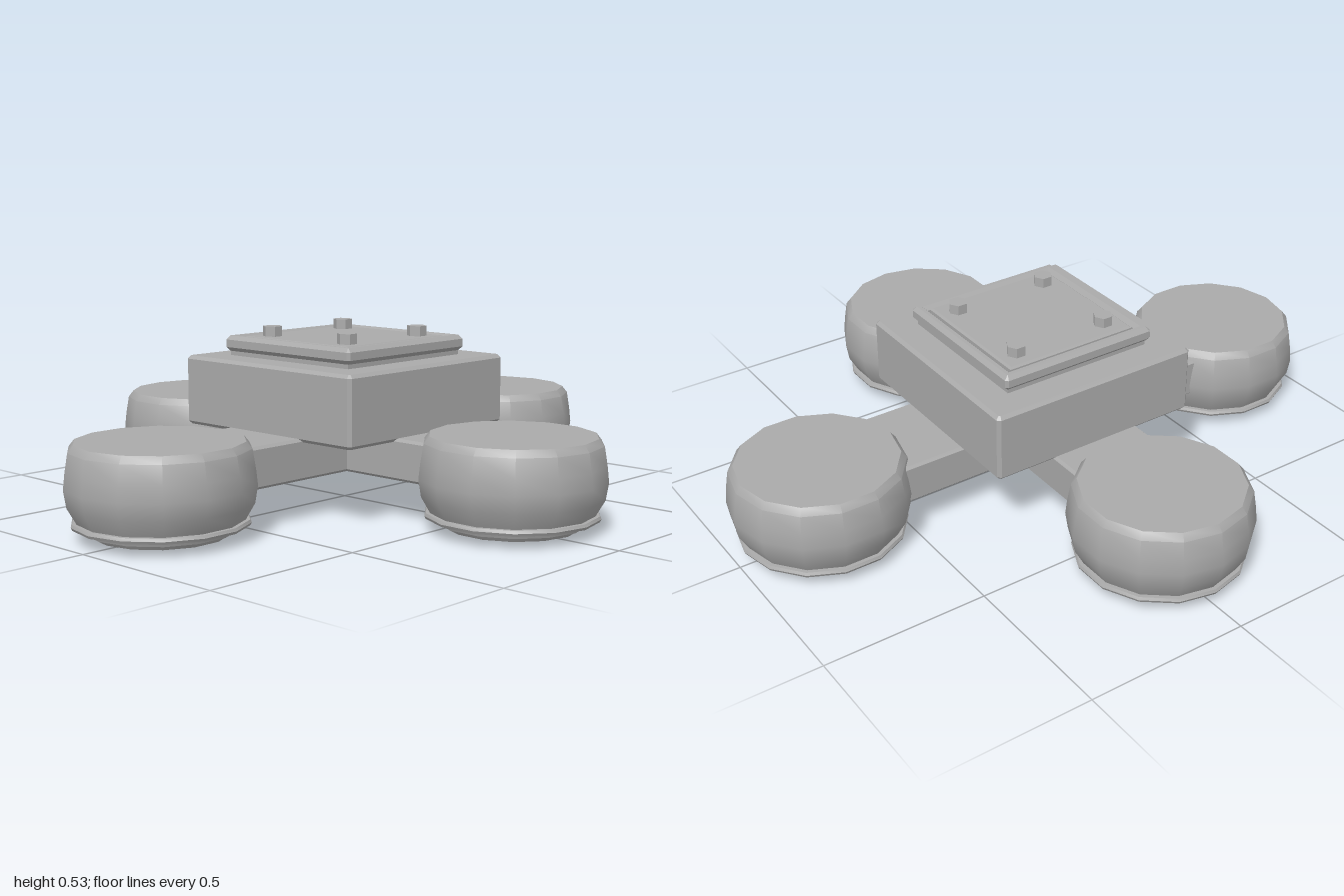
import * as THREE from 'three';
import { toCreasedNormals } from 'three/addons/utils/BufferGeometryUtils.js';

const grey = new THREE.MeshStandardMaterial({ color: 0xaaaaaa });
grey.name = 'grey metal';
const teal = new THREE.MeshStandardMaterial({ color: 0x80b6be });
teal.name = 'teal lens';

function part(name, geometry, material = grey) {
  const mesh = new THREE.Mesh(geometry, material);
  mesh.name = name;
  return mesh;
}

// Horizontal slab between two heights with chamfered rims
function slab(shape, y0, y1, bevel) {
  const g = new THREE.ExtrudeGeometry(shape, {
    depth: y1 - y0 - 2 * bevel, bevelEnabled: true, bevelSegments: 1,
    bevelSize: bevel, bevelThickness: bevel, bevelOffset: -bevel,
  });
  return g.rotateX(-Math.PI / 2).translate(0, y0 + bevel, 0);
}

const polygon = (pts) => new THREE.Shape(pts.map(([x, y]) => new THREE.Vector2(x, y)));
const squarePoints = (h) => [[-h, -h], [h, -h], [h, h], [-h, h]];

// Square with clipped corners
function clippedSquare(h, c) {
  return polygon([[-h + c, -h], [h - c, -h], [h, -h + c], [h, h - c],
    [h - c, h], [-h + c, h], [-h, h - c], [-h, -h + c]]);
}

// Fourteen-sided turned part, smooth around and sharp at profile corners
function turned(points) {
  const g = new THREE.LatheGeometry(points.map(([r, y]) => new THREE.Vector2(r, y)), 14);
  return toCreasedNormals(g, 0.55);
}

const podBody = turned([
  [0.2, 0.04], [0.228, 0.04], [0.236, 0.058], [0.26, 0.1], [0.268, 0.15],
  [0.263, 0.195], [0.254, 0.25], [0.238, 0.27], [0, 0.27],
]);
const podFlange = turned([[0.222, 0.046], [0.228, 0.038], [0.246, 0.038], [0.25, 0.046], [0.246, 0.054], [0.222, 0.054]]);
const lensRing = turned([[0.168, 0.016], [0.174, 0.01], [0.19, 0.01], [0.197, 0.02], [0.214, 0.024], [0.22, 0.04]]);
const lensGlass = turned([[0, 0], [0.1, 0.003], [0.174, 0.012]]);

function makePod() {
  const pod = new THREE.Group();
  pod.name = 'pod';
  pod.add(part('podBody', podBody), part('podFlange', podFlange),
    part('lensRing', lensRing), part('lens', lensGlass, teal));
  return pod;
}

export function createModel() {
  const model = new THREE.Group();
  model.name = 'fourPodUnit';

  // Cross-shaped arms reaching into the pods
  const w = 0.15, ax = 0.59, az = 0.5;
  model.add(part('crossArms', slab(polygon([
    [-w, -az], [w, -az], [w, -w], [ax, -w], [ax, w], [w, w],
    [w, az], [-w, az], [-w, w], [-ax, w], [-ax, -w], [-w, -w],
  ]), 0.118, 0.24, 0.008)));

  // Central housing
  model.add(part('housing', slab(clippedSquare(0.342, 0.01), 0.23, 0.44, 0.01)));

  // Stepped top cover: foot, raised frame and inner panel
  model.add(part('coverFoot', slab(polygon(squarePoints(0.245)), 0.43, 0.465, 0.004)));
  const frame = clippedSquare(0.258, 0.008);
  frame.holes.push(new THREE.Path(squarePoints(0.222).reverse().map(([x, y]) => new THREE.Vector2(x, y))));
  model.add(part('coverFrame', slab(frame, 0.453, 0.5, 0.012)));
  model.add(part('coverPanel', slab(polygon(squarePoints(0.216)), 0.46, 0.498, 0.006)));

  // Hexagonal bolts
  const boltGeometry = toCreasedNormals(new THREE.CylinderGeometry(0.03, 0.03, 0.035, 6).rotateY(Math.PI / 6), 0.5);
  for (const x of [-0.155, 0.155]) {
    for (const z of [-0.155, 0.155]) {
      const bolt = part('bolt', boltGeometry);
      bolt.position.set(x, 0.511, z);
      model.add(bolt);
    }
  }

  // One pod at the end of each arm
  for (let k = 0; k < 4; k++) {
    const angle = k * Math.PI / 2;
    const reach = k % 2 ? 0.732 : 0.645;
    const pod = makePod();
    pod.rotation.y = angle;
    pod.position.set(Math.sin(angle) * reach, 0, Math.cos(angle) * reach);
    model.add(pod);
  }
  return model;
}
